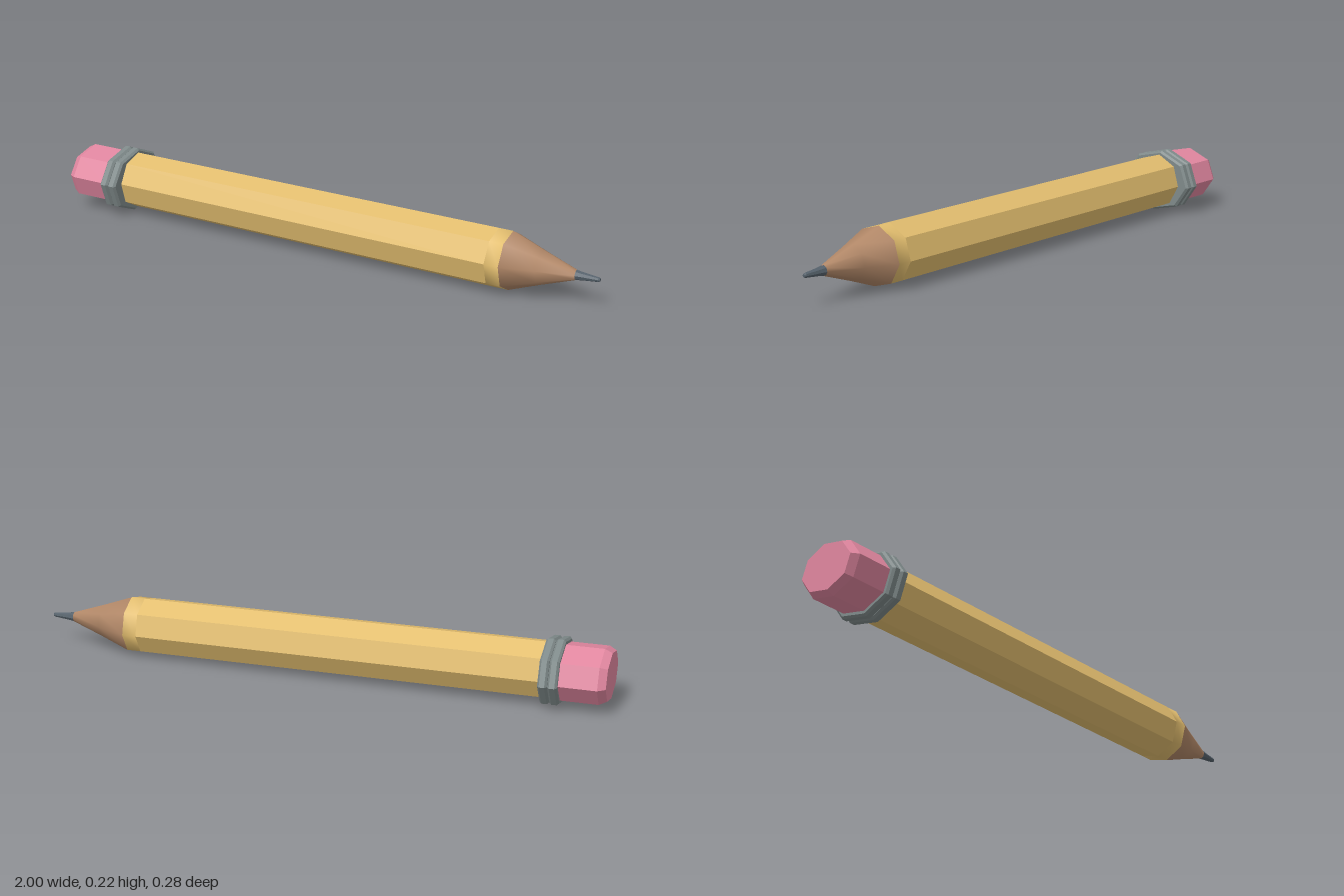
import * as THREE from 'three';

const SIDES = 8;
const TWIST = 0.115;

// The pencil lies along x on a very slightly sloping axis.
const axisY = (x) => 0.1076 - 0.0068 * x;
const axisZ = (x) => -0.0037 - 0.0035 * x;

// Skins eight-sided sections [x, radius] along the axis; stretch widens them in z.
function loft(sections, { stretch = 1, smooth = false } = {}) {
  const positions = [];
  const indices = [];
  for (const [x, r] of sections) {
    for (let j = 0; j < SIDES; j++) {
      const a = TWIST + (j / SIDES) * Math.PI * 2;
      positions.push(x, axisY(x) + r * Math.sin(a), axisZ(x) + r * stretch * Math.cos(a));
    }
  }
  for (let i = 0; i < sections.length - 1; i++) {
    for (let j = 0; j < SIDES; j++) {
      const k = (j + 1) % SIDES;
      const a = i * SIDES + j, c = i * SIDES + k;
      const b = a + SIDES, d = c + SIDES;
      if (sections[i][1] > 0) indices.push(a, b, c);
      if (sections[i + 1][1] > 0) indices.push(b, d, c);
      else if (sections[i][1] > 0) continue;
    }
  }
  let geometry = new THREE.BufferGeometry();
  geometry.setAttribute('position', new THREE.Float32BufferAttribute(positions, 3));
  geometry.setIndex(indices);
  if (!smooth) geometry = geometry.toNonIndexed();
  geometry.computeVertexNormals();
  return geometry;
}

function material(name, color) {
  const m = new THREE.MeshStandardMaterial({ color });
  m.name = name;
  return m;
}

export function createModel() {
  const group = new THREE.Group();
  group.name = 'pencil';

  const yellow = material('yellow paint', 0xe2bd6e);
  const wood = material('bare wood', 0xb18767);
  const graphite = material('graphite', 0x55616b);
  const metal = material('grey metal', 0x7f8a8a);
  const pink = material('pink rubber', 0xe0869f);

  const add = (name, geometry, mat) => {
    const mesh = new THREE.Mesh(geometry, mat);
    mesh.name = name;
    group.add(mesh);
  };

  // Painted barrel, with a softly shaded collar where it meets the wood
  add('barrel', loft([[-0.83, 0], [-0.83, 0.099], [0.64, 0.1]]), yellow);
  add('barrelCollar', loft([[0.64, 0.1], [0.69, 0.1]], { smooth: true }), yellow);

  // Sharpened wood and lead
  add('sharpenedWood', loft([[0.69, 0.1], [0.8, 0.059], [0.92, 0.017]], { smooth: true }), wood);
  add('lead', loft([[0.91, 0], [0.915, 0.018], [0.94, 0.014], [0.995, 0.008], [1, 0.005], [1, 0]]), graphite);

  // Two bevelled metal bands
  [-0.832, -0.799].forEach((x, i) => {
    add('metalBand' + (i + 1), loft([
      [x - 0.016, 0], [x - 0.016, 0.106], [x - 0.009, 0.113],
      [x + 0.009, 0.113], [x + 0.016, 0.106], [x + 0.016, 0],
    ], { stretch: 1.265 }), metal);
  });

  // Eraser with a chamfered end
  add('eraser', loft([
    [-1, 0], [-1, 0.083], [-0.975, 0.096], [-0.835, 0.096],
  ], { stretch: 1.29 }), pink);

  return group;
}
